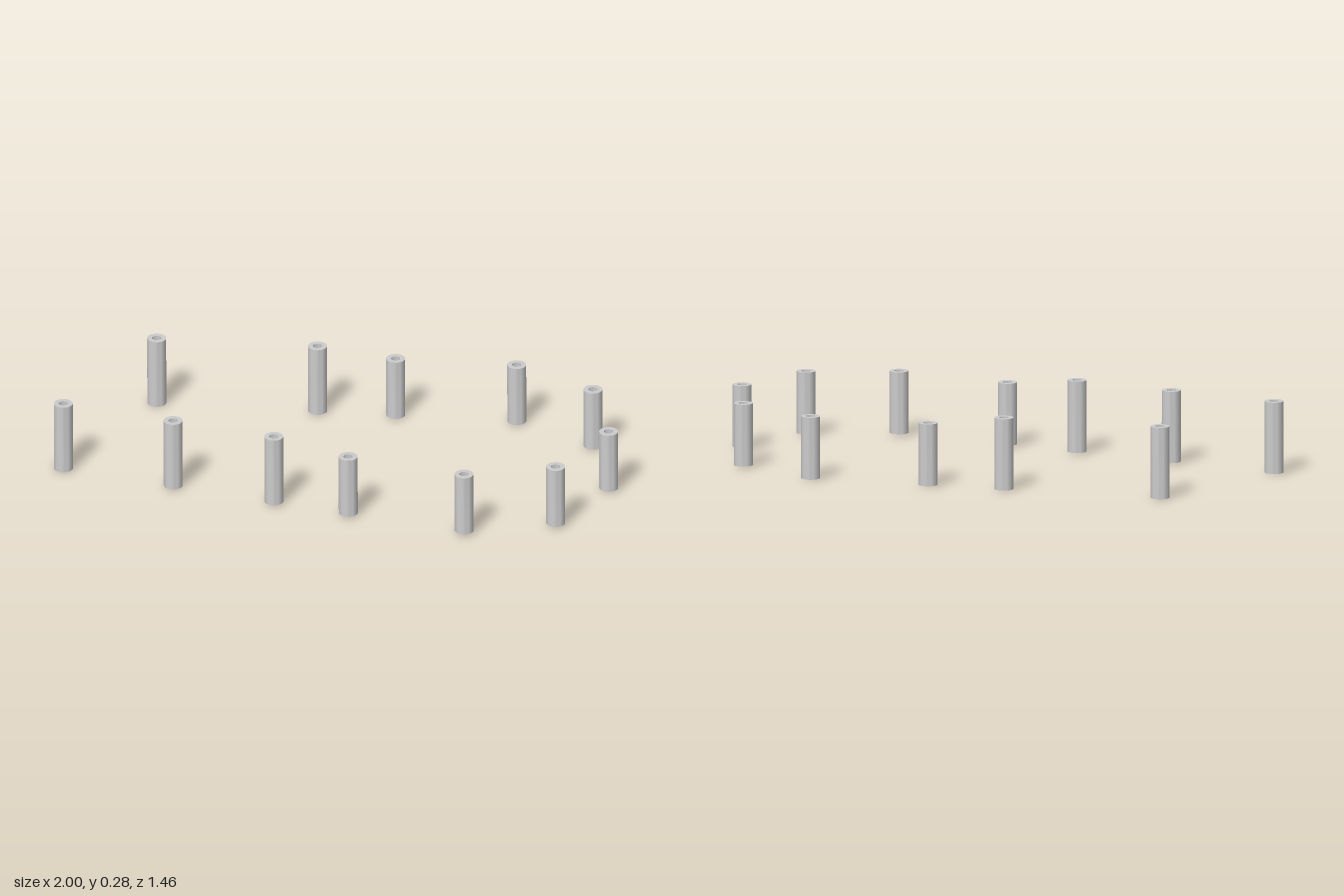
import * as THREE from 'three';
import { toCreasedNormals } from 'three/addons/utils/BufferGeometryUtils.js';

const OUTER = 0.0355, INNER = 0.017;

// Hollow sleeve standing on its own y = 0, open right through
function sleeveGeometry(height) {
  const profile = [[INNER, 0], [OUTER, 0], [OUTER, height], [INNER, height], [INNER, 0]]
    .map(([r, y]) => new THREE.Vector2(r, y));
  return toCreasedNormals(new THREE.LatheGeometry(profile, 32), Math.PI / 5);
}

// Sleeve centres [x, z] by length
const tallSpots = [[-0.472, -0.694], [-0.965, -0.302], [-0.62, -0.043], [-0.304, 0.196], [0.076, -0.446]];
const shortSpots = [[-0.07, 0.37], [0.295, 0.64], [0.637, 0.69], [0.912, 0.482],
  [0.962, 0.141], [0.754, -0.136], [0.342, -0.325]];

export function createModel() {
  const model = new THREE.Group();
  model.name = 'spacerSleeves';
  const material = new THREE.MeshStandardMaterial({ color: 0xcccccc });

  const addSleeves = (name, height, spots) => {
    const geometry = sleeveGeometry(height);
    spots.forEach(([x, z], i) => {
      const sleeve = new THREE.Mesh(geometry, material);
      sleeve.name = `${name}${i + 1}`;
      // The ring of sleeves rises very slightly towards the front
      sleeve.position.set(x, 0.0044 + 0.006 * z, z);
      sleeve.rotation.x = -0.006;
      model.add(sleeve);
    });
  };
  addSleeves('tallSleeve', 0.271, tallSpots);
  addSleeves('shortSleeve', 0.235, shortSpots);
  return model;
}
